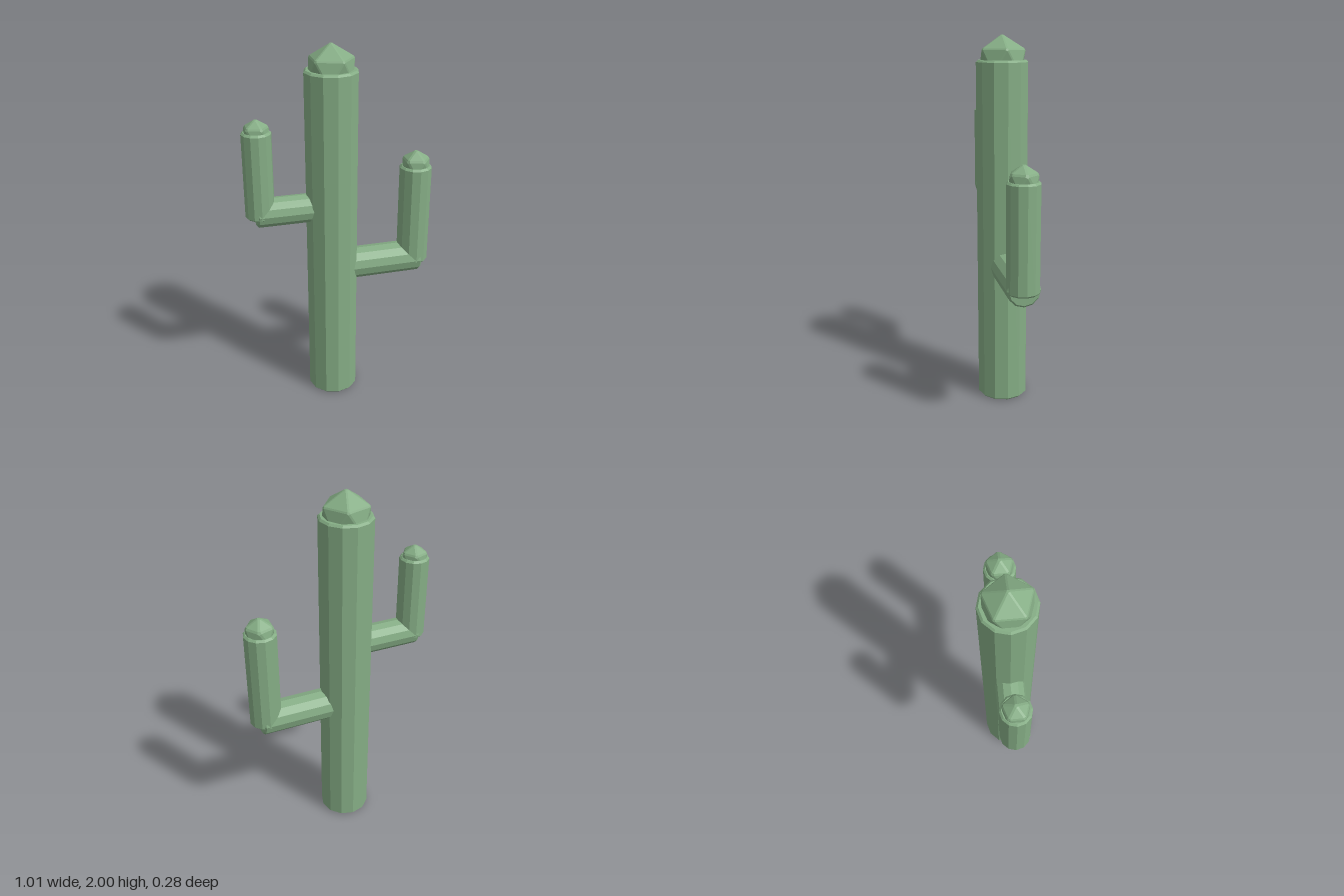
import * as THREE from 'three';
import { ConvexGeometry } from 'three/addons/geometries/ConvexGeometry.js';

const green = new THREE.MeshStandardMaterial({ color: 0x85ad85, flatShading: true });
green.name = 'cactus green';

// Twelve-sided post with slightly bevelled rims, running up from its origin
function post(name, radius, length) {
  const b = 0.01;
  const profile = [
    [0, 0], [radius - b, 0], [radius, b],
    [radius, length - b], [radius - b, length], [0, length],
  ].map(([x, y]) => new THREE.Vector2(x, y));
  const mesh = new THREE.Mesh(new THREE.LatheGeometry(profile, 12), green);
  mesh.name = name;
  return mesh;
}

// Icosahedron standing on a point, with its edges chamfered
function tip(name, radius, chamfer) {
  const ring = (y, turn) => Array.from({ length: 5 }, (_, i) => {
    const a = (i * 2 * Math.PI) / 5 + turn;
    return new THREE.Vector3(0.8944 * Math.cos(a), y, 0.8944 * Math.sin(a));
  });
  const top = new THREE.Vector3(0, 1, 0);
  const bottom = new THREE.Vector3(0, -1, 0);
  const up = ring(0.4472, 0);
  const low = ring(-0.4472, Math.PI / 5);
  const points = [];
  for (let i = 0; i < 5; i++) {
    const j = (i + 1) % 5;
    const faces = [
      [top, up[i], up[j]], [up[i], up[j], low[i]],
      [low[i], low[j], up[j]], [bottom, low[i], low[j]],
    ];
    for (const face of faces) {
      const middle = new THREE.Vector3();
      face.forEach((v) => middle.addScaledVector(v, 1 / 3));
      face.forEach((v) => points.push(v.clone().lerp(middle, chamfer).multiplyScalar(radius)));
    }
  }
  const mesh = new THREE.Mesh(new ConvexGeometry(points), green);
  mesh.name = name;
  return mesh;
}

// Horizontal branch from the trunk, an upright at its end, and a tip on top
function arm(name, o) {
  const group = new THREE.Group();
  group.name = name;
  const branch = post('branch', o.radius, Math.abs(o.endX - trunkX));
  branch.rotation.z = -Math.sign(o.endX) * Math.PI / 2;
  branch.position.set(trunkX, o.branchY, 0);
  const upright = post('upright', o.radius, o.top - o.bottom);
  upright.position.set(o.x, o.bottom, 0);
  const cap = tip('armTip', o.tipRadius, 0.25);
  cap.position.set(o.x, o.tipY, 0);
  group.add(branch, upright, cap);
  return group;
}

const trunkX = -0.047;

export function createModel() {
  const cactus = new THREE.Group();
  cactus.name = 'cactus';

  const trunk = post('trunk', 0.139, 1.875);
  trunk.position.x = trunkX;
  const crown = tip('trunkTip', 0.136, 0.12);
  crown.position.set(trunkX, 1.87, 0);

  cactus.add(
    trunk, crown,
    arm('leftArm', {
      x: 0.417, endX: 0.45, radius: 0.087, branchY: 0.785,
      bottom: 0.765, top: 1.33, tipRadius: 0.087, tipY: 1.33,
    }),
    arm('rightArm', {
      x: -0.431, endX: -0.455, radius: 0.077, branchY: 1.148,
      bottom: 1.125, top: 1.59, tipRadius: 0.076, tipY: 1.58,
    }),
  );
  return cactus;
}
